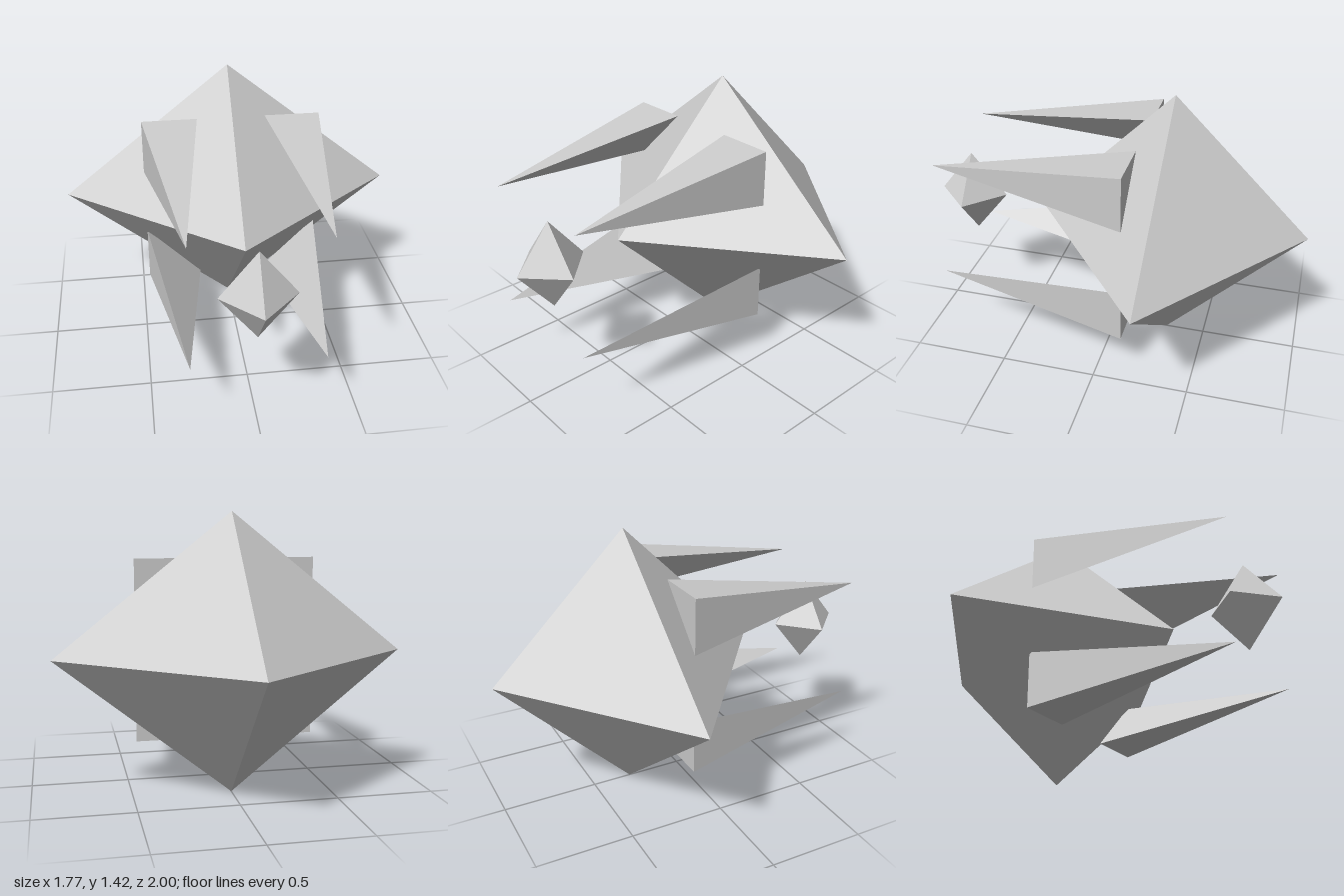
import * as THREE from 'three';
import { ConvexGeometry } from 'three/addons/geometries/ConvexGeometry.js';

const material = new THREE.MeshStandardMaterial({ color: 0xcccccc, flatShading: true });

// Stretched octahedron with half-sizes rx, ry, rz
function diamond(name, [rx, ry, rz], position) {
  const geometry = new THREE.OctahedronGeometry(1);
  geometry.scale(rx, ry, rz);
  const mesh = new THREE.Mesh(geometry, material);
  mesh.name = name;
  mesh.position.set(...position);
  return mesh;
}

// Spike on a right-triangle base, its tip level with the middle of the long base edge
function spike(name, sx, sy) {
  const midY = 0.717;
  const point = (x, y, z) => new THREE.Vector3(sx * x, midY + sy * y, z);
  const mesh = new THREE.Mesh(new ConvexGeometry([
    point(0.465, 0.468, -0.14), // outer corner
    point(0.177, 0.468, -0.14),
    point(0.465, 0.18, -0.14),
    point(0.321, 0.324, 0.88), // tip
  ]), material);
  mesh.name = name;
  return mesh;
}

export function createModel() {
  const model = new THREE.Group();
  model.name = 'model';

  // Large body and the small floating core ahead of it
  model.add(diamond('body', [0.885, 0.708, 0.708], [0, 0.71, -0.292]));
  model.add(diamond('frontCore', [0.186, 0.233, 0.186], [0, 0.727, 0.814]));

  // Four forward-pointing spikes around the body
  for (const [side, sx] of [['Left', 1], ['Right', -1]]) {
    for (const [level, sy] of [['upper', 1], ['lower', -1]]) {
      model.add(spike(`${level}${side}Spike`, sx, sy));
    }
  }
  return model;
}
